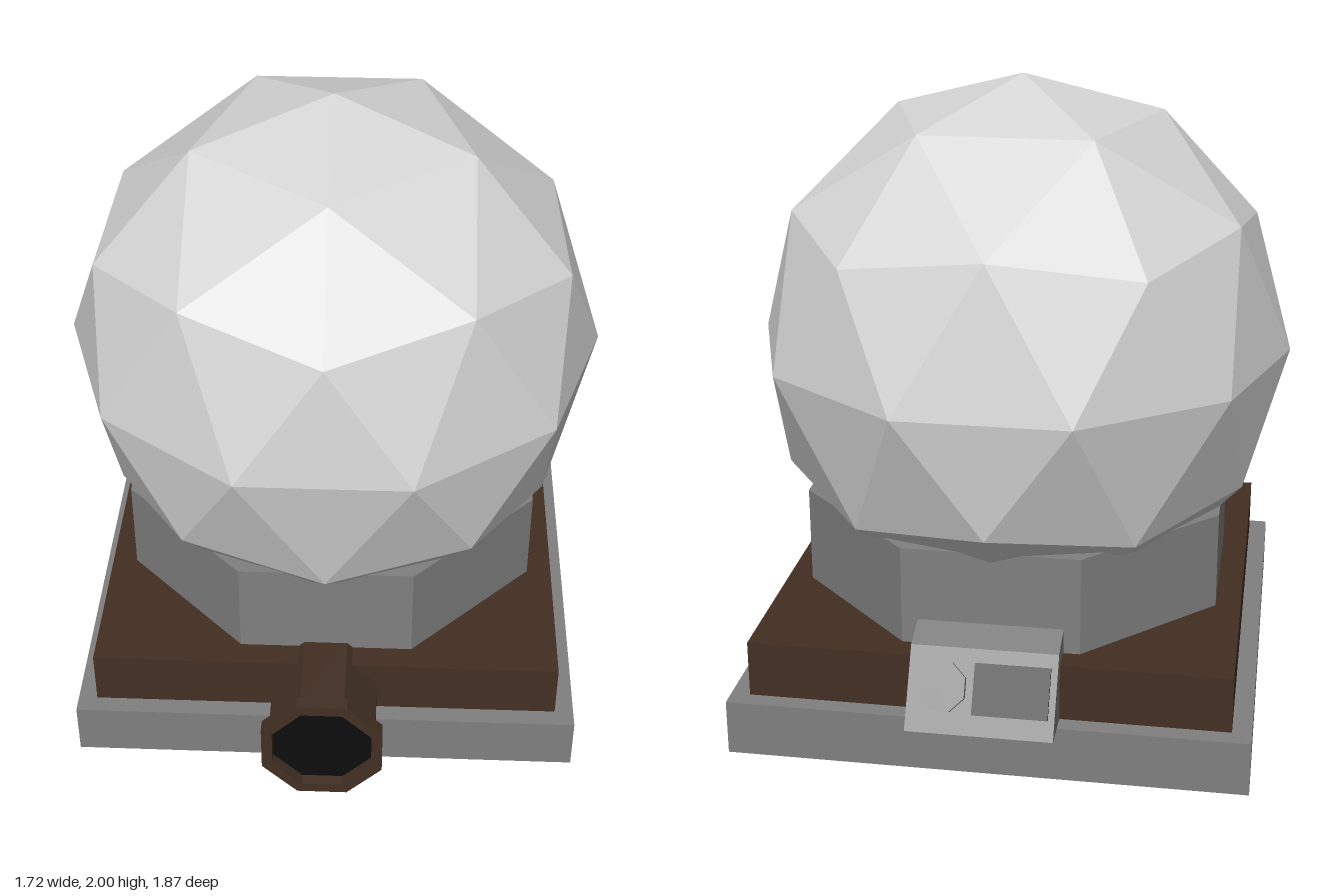
import * as THREE from 'three';

const mat = (name, color) => Object.assign(new THREE.MeshStandardMaterial({ color, flatShading: true }), { name });

export function createModel() {
  const model = new THREE.Group();
  model.name = 'domeStation';
  const white = mat('domeWhite', 0xd6d6d6);
  const grey = mat('concreteGrey', 0x808080);
  const brown = mat('darkBrown', 0x422f23);
  const black = mat('black', 0x0d0d0d);
  const CZ = -0.04; // shared centre of base, drum and dome

  const add = (name, geo, material, x, y, z, parent = model) => {
    const m = new THREE.Mesh(geo, material);
    m.name = name;
    m.position.set(x, y, z);
    parent.add(m);
    return m;
  };
  // Octagonal prism with flat sides on the axes; a is the centre-to-flat distance
  const octPrism = (a, h) =>
    new THREE.CylinderGeometry(a / Math.cos(Math.PI / 8), a / Math.cos(Math.PI / 8), h, 8).rotateY(Math.PI / 8);
  const octPoints = (a) => Array.from({ length: 8 }, (_, i) => {
    const t = (i + 0.5) * Math.PI / 4, r = a / Math.cos(Math.PI / 8);
    return new THREE.Vector2(r * Math.cos(t), r * Math.sin(t));
  });

  // Stepped square base
  add('base', new THREE.BoxGeometry(1.61, 0.175, 1.61), grey, 0, 0.0875, CZ);
  add('upperSlab', new THREE.BoxGeometry(1.49, 0.18, 1.495), brown, 0, 0.265, CZ);

  // Octagonal drum carrying the dome
  add('drum', octPrism(0.665, 0.32), grey, 0, 0.51, CZ);

  // Faceted geodesic dome, turned so one corner points straight up
  const dome = new THREE.IcosahedronGeometry(0.86, 1);
  dome.rotateX(-Math.atan((1 + Math.sqrt(5)) / 2));
  add('dome', dome, white, 0, 1.14, CZ);

  // Front pipe with an open octagonal rim
  const PY = 0.206;
  add('pipe', octPrism(0.167, 0.3).rotateX(Math.PI / 2), brown, 0, PY, 0.745);
  const rim = new THREE.Shape(octPoints(0.19));
  rim.holes.push(new THREE.Path(octPoints(0.156).reverse()));
  add('pipeRim', new THREE.ExtrudeGeometry(rim, { depth: 0.043, bevelEnabled: false }), brown, 0, PY, 0.892);
  add('pipeOpening', octPrism(0.157, 0.006).rotateX(Math.PI / 2), black, 0, PY, 0.895);

  // Sloped control console at the back
  const profile = new THREE.Shape([[0.69, 0.178], [0.932, 0.178], [0.804, 0.402], [0.69, 0.44]]
    .map(([a, y]) => new THREE.Vector2(a, y)));
  const consoleGeo = new THREE.ExtrudeGeometry(profile, { depth: 0.45, bevelEnabled: false });
  consoleGeo.rotateY(Math.PI / 2);
  add('console', consoleGeo, grey, -0.225, 0, 0);

  // Screen and knob lying on the console slope
  const panel = new THREE.Group();
  panel.name = 'consolePanel';
  panel.position.set(0, 0.29, -0.868);
  panel.rotation.set(-0.519, Math.PI, 0, 'YXZ');
  model.add(panel);
  add('screen', new THREE.BoxGeometry(0.23, 0.155, 0.009), black, 0.09, 0.01, 0.0045, panel);
  add('knob', octPrism(0.073, 0.02).rotateX(Math.PI / 2), grey, -0.122, 0.01, 0.01, panel);

  return model;
}
